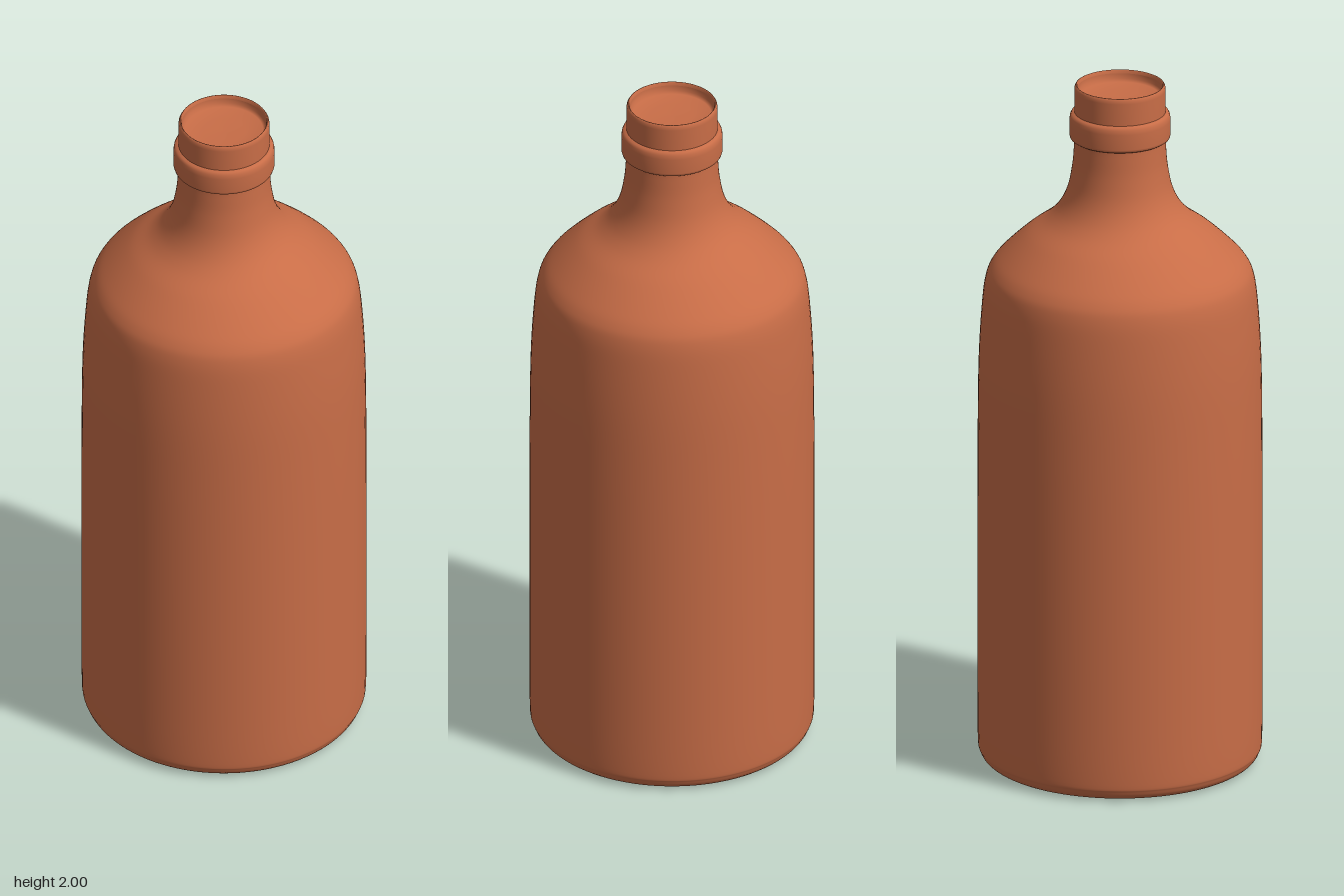
import * as THREE from 'three';

const SEGMENTS = 96;
const pts = (list) => list.map(([r, y]) => new THREE.Vector2(r, y));

export function createModel() {
  const group = new THREE.Group();
  group.name = 'bottle';
  const terracotta = new THREE.MeshStandardMaterial({ color: 0xc86d47 });
  terracotta.name = 'terracotta';

  // Turn a profile of [radius, height] points, listed so the outside faces out
  const turn = (name, profile) => {
    const mesh = new THREE.Mesh(new THREE.LatheGeometry(profile, SEGMENTS), terracotta);
    mesh.name = name;
    group.add(mesh);
  };

  // Flat underside
  turn('base', pts([[0, 0], [0.355, 0]]));

  // Rounded foot, straight wall, sloping shoulder and neck
  const side = new THREE.SplineCurve(pts([
    [0.355, 0], [0.38, 0.008], [0.394, 0.028], [0.399, 0.07], [0.4, 0.3], [0.4, 0.7],
    [0.399, 1.0], [0.396, 1.2], [0.387, 1.35], [0.377, 1.425], [0.36, 1.465],
    [0.325, 1.505], [0.265, 1.56], [0.205, 1.605], [0.17, 1.645], [0.147, 1.695],
    [0.134, 1.76], [0.129, 1.82], [0.128, 1.85],
  ]));
  turn('body', side.getPoints(108));

  // Raised ring below the mouth
  turn('neckRing', pts([
    [0.126, 1.843], [0.136, 1.843], [0.14, 1.846], [0.142, 1.853], [0.142, 1.898],
    [0.14, 1.91], [0.136, 1.918], [0.126, 1.921],
  ]));

  // Mouth with a softened lip
  turn('mouth', pts([
    [0.128, 1.915], [0.128, 1.985], [0.127, 1.994], [0.124, 1.999], [0.122, 2.0],
    [0.12, 1.998], [0.118, 1.99],
  ]));

  // Shallow hollow closing the mouth
  turn('mouthHollow', pts([
    [0.118, 1.99], [0.117, 1.975], [0.11, 1.967], [0.06, 1.963], [0, 1.962],
  ]));

  return group;
}
